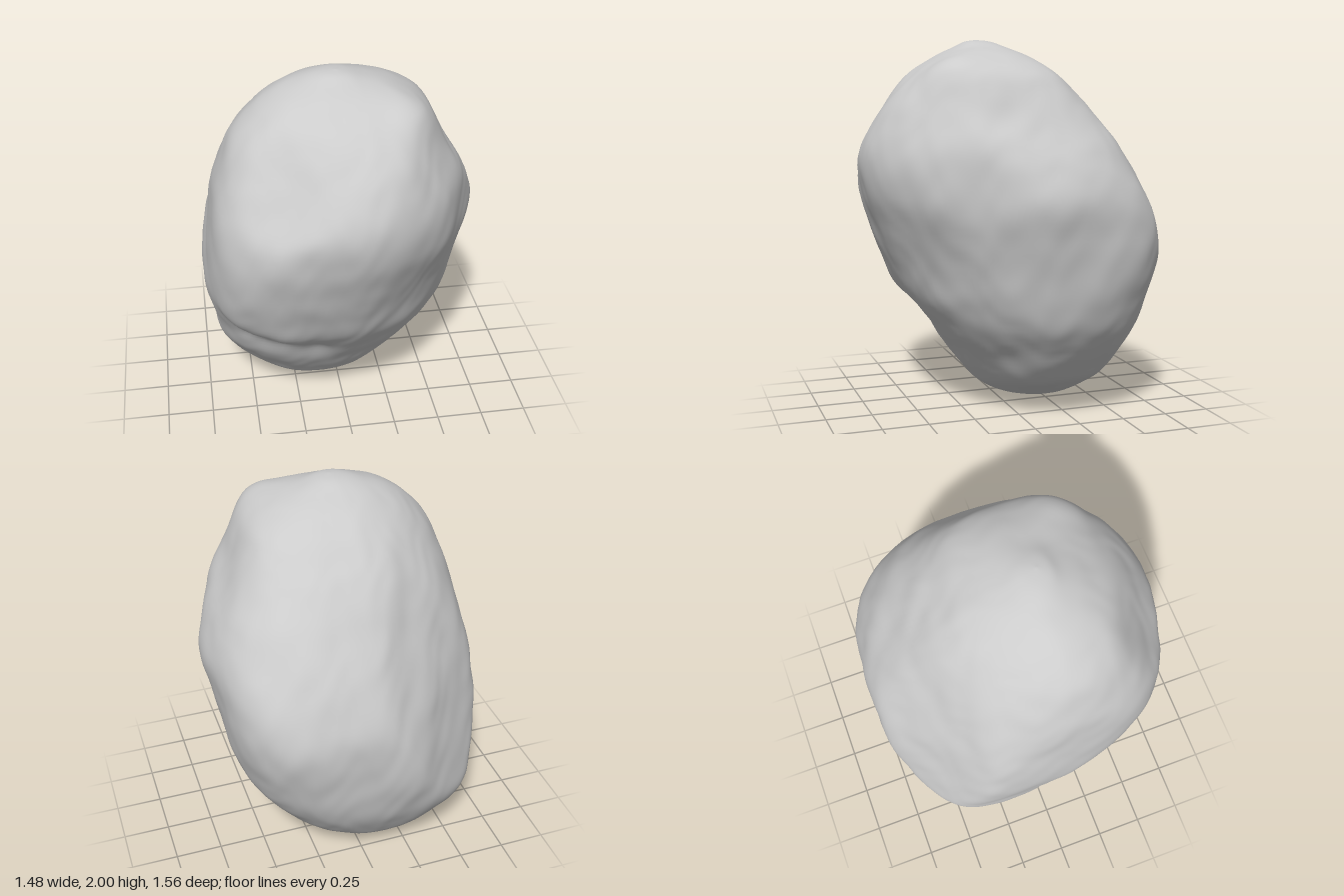
import * as THREE from 'three';
import { mergeVertices } from 'three/addons/utils/BufferGeometryUtils.js';

// Horizontal sections: y, xMin, xMax, zMin, zMax
const SECTIONS = [
  [0.0, -0.13, -0.13, -0.26, -0.26],
  [0.012, -0.23, -0.03, -0.36, -0.14],
  [0.05, -0.34, 0.09, -0.45, 0.01],
  [0.12, -0.47, 0.23, -0.55, 0.13],
  [0.2, -0.57, 0.36, -0.61, 0.2],
  [0.35, -0.67, 0.48, -0.69, 0.31],
  [0.5, -0.69, 0.585, -0.735, 0.43],
  [0.65, -0.715, 0.635, -0.765, 0.545],
  [0.82, -0.735, 0.67, -0.78, 0.62],
  [1.0, -0.73, 0.695, -0.765, 0.685],
  [1.2, -0.71, 0.715, -0.69, 0.755],
  [1.4, -0.68, 0.66, -0.58, 0.78],
  [1.58, -0.62, 0.56, -0.46, 0.715],
  [1.72, -0.56, 0.485, -0.35, 0.62],
  [1.83, -0.45, 0.41, -0.24, 0.51],
  [1.91, -0.33, 0.28, -0.12, 0.38],
  [1.96, -0.21, 0.14, -0.01, 0.27],
  [1.99, -0.11, 0.04, 0.07, 0.21],
  [2.0, -0.03, -0.03, 0.15, 0.15],
];

// Squareness of the corners: y, front +x, front -x, back -x, back +x
const CORNERS = [
  [0.0, 1.9, 2.2, 2.2, 2.1],
  [0.5, 1.75, 2.5, 2.9, 2.4],
  [1.0, 1.7, 3.4, 2.4, 3.4],
  [1.4, 1.75, 2.7, 1.9, 3.2],
  [1.8, 2.3, 2.2, 1.7, 2.8],
  [2.0, 2.2, 2.0, 1.8, 2.2],
];

// Broad worn facets: normal x, y, z and distance from the middle (0, 1, 0)
const FACETS = [
  [-0.617, 0.182, -0.765, 0.68],
  [-0.486, 0.372, -0.79, 0.645],
  [-0.359, 0.514, 0.779, 0.88],
  [0.876, 0, 0.482, 0.68],
];

// Local hollows and swellings: x, y, z, radius, depth
const DENTS = [
  [-0.55, 0.6, 0.36, 0.11, 0.025],
  [-0.38, 0.54, 0.42, 0.11, 0.03],
  [-0.2, 0.47, 0.4, 0.11, 0.03],
  [-0.6, 0.74, 0.45, 0.12, -0.02],
  [-0.35, 0.68, 0.53, 0.12, -0.015],
  [0.6, 0.35, -0.32, 0.08, 0.015],
  [0.72, 1.2, -0.05, 0.14, -0.015],
  [0.5, 1.62, 0.2, 0.1, 0.015],
  [0.3, 1.8, 0.36, 0.15, -0.035],
  [0.3, 0.75, 0.5, 0.2, 0.01],
];

// Catmull-Rom blend of one column of a table at row position t
function sample(table, column, t) {
  const last = table.length - 1;
  const i = Math.min(Math.floor(t), last - 1), f = t - i;
  const v = k => table[Math.max(0, Math.min(last, k))][column];
  const a = v(i - 1), b = v(i), c = v(i + 1), d = v(i + 2);
  return b + 0.5 * f * (c - a + f * (2 * a - 5 * b + 4 * c - d + f * (3 * (b - c) + d - a)));
}

// Row position in a table for a given height
function rowAt(table, y) {
  const i = Math.max(0, table.findLastIndex((row, k) => row[0] <= y && k < table.length - 1));
  return i + THREE.MathUtils.clamp((y - table[i][0]) / (table[i + 1][0] - table[i][0]), 0, 1);
}

// Smooth uneven weathering
function weather(p) {
  let h = 0, amp = 0.008, k = 6;
  for (let o = 0; o < 4; o++) {
    h += amp * Math.sin(k * p.x + 2.1 * o + 1.5 * Math.sin(k * 0.7 * p.z + o))
      * Math.sin(k * 0.8 * p.y + 1.3 * o + 1.5 * Math.sin(k * 0.6 * p.x + 2))
      + amp * 0.4 * Math.sin(k * 0.9 * p.z + k * 0.5 * p.y + 3 * o);
    amp *= 0.58;
    k *= 1.8;
  }
  return h;
}

// Flattens whatever stands out beyond a facet, with a rounded edge
function wearFacets(p) {
  const normal = new THREE.Vector3();
  for (const [nx, ny, nz, distance] of FACETS) {
    normal.set(nx, ny, nz);
    const d = p.dot(normal) - ny - distance;
    p.addScaledVector(normal, -0.5 * (d + Math.hypot(d, 0.03)));
  }
}

function boulderGeometry(rows = 108, cols = 144) {
  const positions = [], index = [];
  const p = new THREE.Vector3(), out = new THREE.Vector3();
  for (let r = 0; r <= rows; r++) {
    const t = r / rows * (SECTIONS.length - 1);
    const [y, x0, x1, z0, z1] = [0, 1, 2, 3, 4].map(c => sample(SECTIONS, c, t));
    const squareness = [1, 2, 3, 4].map(c => sample(CORNERS, c, rowAt(CORNERS, y)));
    const pole = r === 0 || r === rows;
    for (let c = 0; c < cols; c++) {
      // Superellipse section with its own squareness in each quarter
      const a = c / cols * Math.PI * 2, cos = Math.cos(a), sin = Math.sin(a);
      const n = squareness[Math.floor(c / cols * 4)];
      const w = pole ? 0 : Math.pow(Math.abs(cos) ** n + Math.abs(sin) ** n, -1 / n);
      p.set((x0 + x1) / 2 + (x1 - x0) / 2 * w * cos, y, (z0 + z1) / 2 + (z1 - z0) / 2 * w * sin);
      wearFacets(p);
      out.set(p.x, (p.y - 1) * 0.7, p.z).normalize();
      let push = weather(p) * Math.min(1, 0.2 + 3 * Math.min(y, 2 - y));
      for (const [dx, dy, dz, radius, depth] of DENTS) {
        const d2 = (p.x - dx) ** 2 + (p.y - dy) ** 2 + (p.z - dz) ** 2;
        push -= depth * Math.exp(-d2 / (radius * radius));
      }
      p.addScaledVector(out, push);
      positions.push(p.x, p.y, p.z);
      const i = r * cols + c, j = r * cols + (c + 1) % cols;
      if (r > 0 && r < rows) index.push(i, i + cols, j);
      if (r < rows - 1) index.push(j, i + cols, j + cols);
    }
  }
  const geometry = new THREE.BufferGeometry();
  geometry.setAttribute('position', new THREE.Float32BufferAttribute(positions, 3));
  geometry.setIndex(index);
  const merged = mergeVertices(geometry, 1e-5);
  merged.computeVertexNormals();
  return merged;
}

export function createModel() {
  const group = new THREE.Group();
  group.name = 'rock';
  const boulder = new THREE.Mesh(
    boulderGeometry(),
    new THREE.MeshStandardMaterial({ color: 0xcccccc }),
  );
  boulder.name = 'boulder';
  group.add(boulder);
  return group;
}
